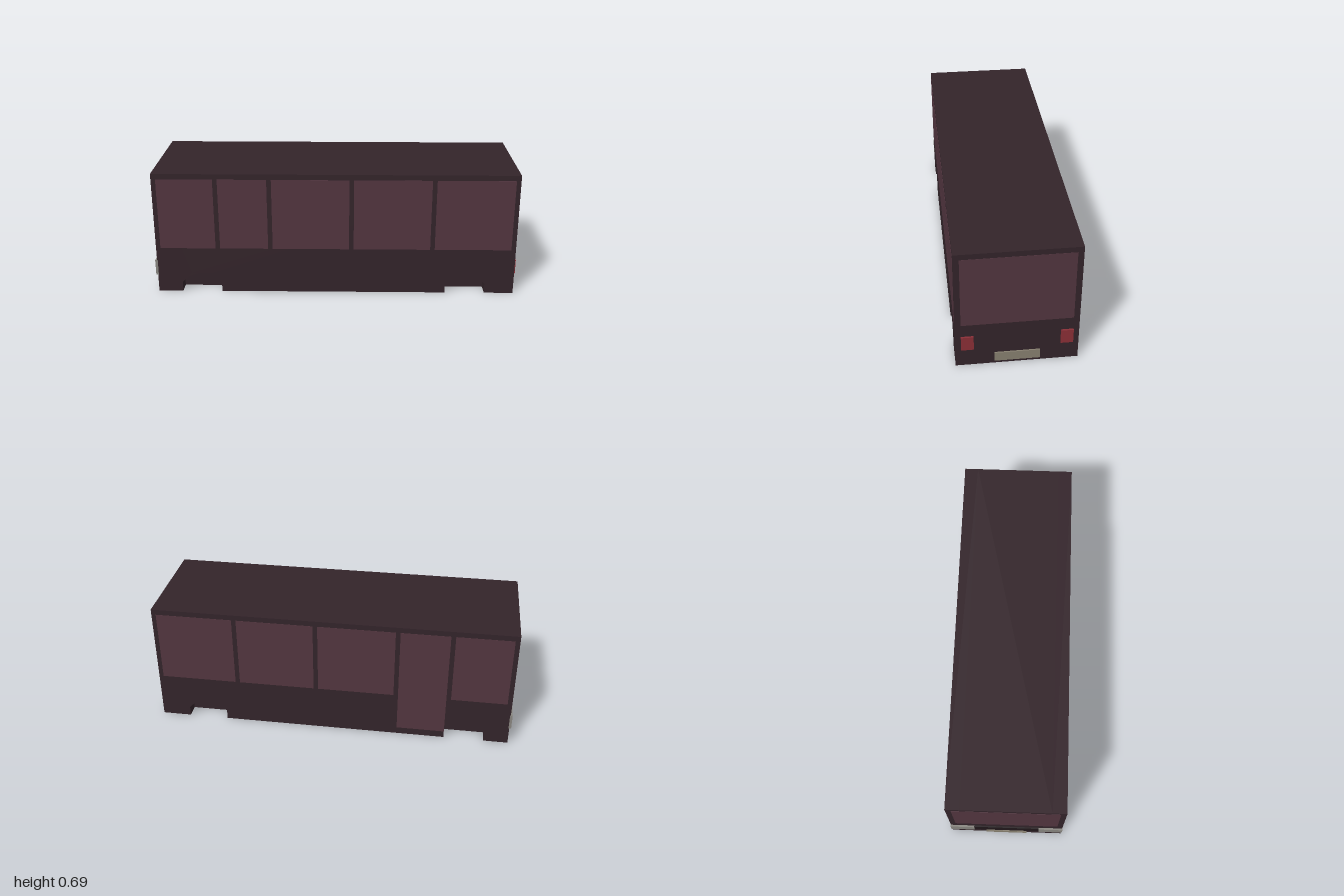
import * as THREE from 'three';

const HALF_L = 0.99, HEIGHT = 0.69, HALF_W = 0.31, WELL = 0.075;

const material = (color) => new THREE.MeshStandardMaterial({ color });
const paint = material(0x33242a);
const glass = material(0x52353f);
const red = material(0x8b2f37);
const plate = material(0x888070);
const lamp = material(0x88857f);
const dark = material(0x21181b);

// Box given by its min and max corners
function block(name, mat, [x0, y0, z0], [x1, y1, z1]) {
  const mesh = new THREE.Mesh(new THREE.BoxGeometry(x1 - x0, y1 - y0, z1 - z0), mat);
  mesh.position.set((x0 + x1) / 2, (y0 + y1) / 2, (z0 + z1) / 2);
  mesh.name = name;
  return mesh;
}

// Side wall outline with a chamfered notch for each wheel arch
function sideShape() {
  const s = new THREE.Shape();
  s.moveTo(-HALF_L, 0);
  for (const cx of [-0.745, 0.72]) {
    s.lineTo(cx - 0.11, 0);
    s.lineTo(cx - 0.11, 0.055);
    s.lineTo(cx - 0.055, 0.11);
    s.lineTo(cx + 0.055, 0.11);
    s.lineTo(cx + 0.11, 0.055);
    s.lineTo(cx + 0.11, 0);
  }
  s.lineTo(HALF_L, 0);
  s.lineTo(HALF_L, HEIGHT);
  s.lineTo(-HALF_L, HEIGHT);
  s.closePath();
  return s;
}

export function createModel() {
  const bus = new THREE.Group();
  bus.name = 'bus';

  // Body: a core with a notched wall on each side
  const inner = HALF_W - WELL;
  bus.add(block('bodyCore', paint, [-HALF_L, 0, -inner], [HALF_L, HEIGHT, inner]));
  const wallGeo = new THREE.ExtrudeGeometry(sideShape(), { depth: WELL, bevelEnabled: false });
  for (const [name, z] of [['leftWall', inner], ['rightWall', -HALF_W]]) {
    const wall = new THREE.Mesh(wallGeo, paint);
    wall.position.z = z;
    wall.name = name;
    bus.add(wall);
  }

  // Side windows, nearly flush, with a door on the far side
  const t = 0.0015;
  const sidePanes = [[-0.965, -0.66], [-0.635, -0.37], [-0.345, 0.075], [0.1, 0.52], [0.545, 0.965]];
  sidePanes.forEach(([x0, x1], i) => {
    bus.add(block('sideWindow', glass, [x0, 0.26, HALF_W - t], [x1, 0.66, HALF_W + t]));
    const isDoor = i === 1;
    bus.add(block(isDoor ? 'door' : 'sideWindow', glass,
      [x0, isDoor ? 0.04 : 0.26, -HALF_W - t], [x1, 0.66, -HALF_W + t]));
  });

  // Windscreen, rear window and number plates on both ends
  for (const end of [-1, 1]) {
    const x = end * HALF_L;
    bus.add(block(end < 0 ? 'windscreen' : 'rearWindow', glass,
      [x - t, 0.26, -0.28], [x + t, 0.66, 0.28]));
    bus.add(block('numberPlate', plate, [x - 0.007, 0.018, -0.115], [x + 0.007, 0.071, 0.115]));
  }

  // Tail lights and headlights
  for (const side of [-1, 1]) {
    const pair = (a, b) => [Math.min(side * a, side * b), Math.max(side * a, side * b)];
    const [t0, t1] = pair(0.218, 0.281);
    bus.add(block('tailLight', red, [HALF_L - 0.01, 0.107, t0], [HALF_L + 0.01, 0.188, t1]));
    const [h0, h1] = pair(0.18, 0.312);
    bus.add(block('headlight', lamp, [-1, 0.1, h0], [-HALF_L + 0.004, 0.188, h1]));
  }

  // Grille between the headlights
  bus.add(block('grille', dark, [-0.997, 0.1, -0.18], [-HALF_L + 0.004, 0.188, 0.18]));
  return bus;
}
